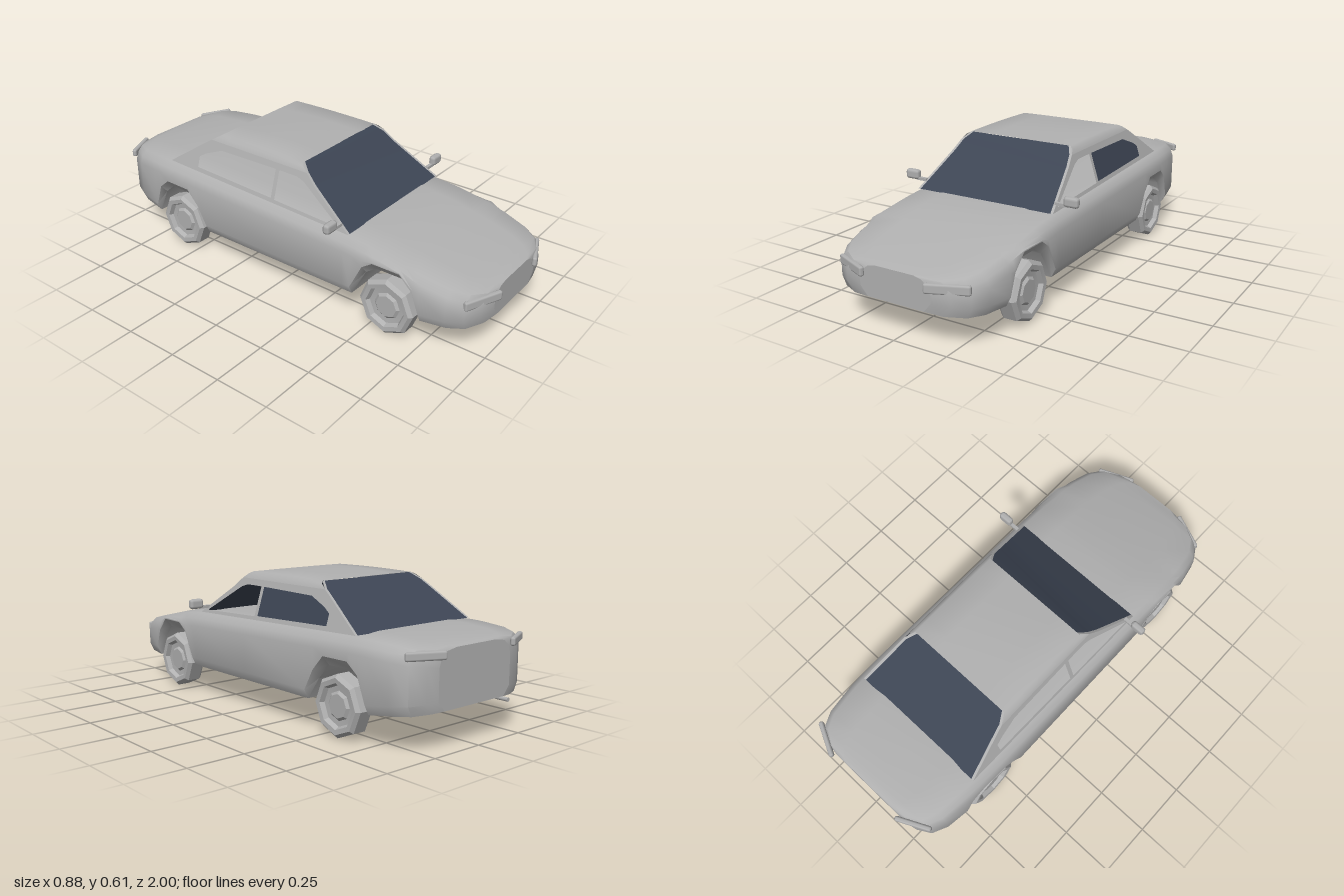
import * as THREE from 'three';
import { toCreasedNormals } from 'three/addons/utils/BufferGeometryUtils.js';
import { RoundedBoxGeometry } from 'three/addons/geometries/RoundedBoxGeometry.js';

const paint = new THREE.MeshStandardMaterial({ name: 'greyPaint', color: 0xb0b0b0, side: THREE.DoubleSide });
const glass = new THREE.MeshStandardMaterial({ name: 'darkGlass', color: 0x3d4554, side: THREE.DoubleSide });

// Piecewise linear lookup in [key, value] pairs with rising keys
function lookup(table, k) {
  for (let i = 1; i < table.length; i++) {
    const [a, va] = table[i - 1], [b, vb] = table[i];
    if (k <= b) return va + (vb - va) * Math.max(0, (k - a) / (b - a));
  }
  return table[table.length - 1][1];
}

// Skin over rows of points; closed joins each row's end to its start
function loft(rows, closed = false, crease = 0.7) {
  const n = rows[0].length, index = [];
  for (let i = 0; i < rows.length - 1; i++) {
    for (let j = 0; j < (closed ? n : n - 1); j++) {
      const a = i * n + j, b = i * n + (j + 1) % n;
      index.push(a, a + n, b, b, a + n, b + n);
    }
  }
  const g = new THREE.BufferGeometry();
  g.setAttribute('position', new THREE.Float32BufferAttribute(rows.flat(2), 3));
  g.setIndex(index);
  return toCreasedNormals(g, crease);
}

// Lower body stations: z, half width, bottom height, top height
const stations = [
  [0.98, 0.17, 0.145, 0.285], [0.965, 0.25, 0.138, 0.287], [0.925, 0.315, 0.135, 0.296],
  [0.86, 0.352, 0.132, 0.312], [0.75, 0.373, 0.13, 0.338],
  [0.72, 0.375, 0.22, 0.344], [0.66, 0.378, 0.285, 0.358], [0.53, 0.38, 0.285, 0.381], [0.48, 0.38, 0.25, 0.387],
  [0.42, 0.38, 0.13, 0.392], [0.38, 0.38, 0.13, 0.395], [0, 0.38, 0.13, 0.408], [-0.41, 0.38, 0.13, 0.42],
  [-0.46, 0.38, 0.22, 0.422], [-0.52, 0.38, 0.285, 0.424], [-0.655, 0.377, 0.285, 0.427], [-0.71, 0.374, 0.24, 0.427],
  [-0.75, 0.37, 0.13, 0.426], [-0.86, 0.357, 0.145, 0.42], [-0.93, 0.325, 0.152, 0.413],
  [-0.965, 0.265, 0.157, 0.407], [-0.975, 0.21, 0.16, 0.4],
];

function bodyRing([z, w, yb, yt]) {
  const tuck = yb > 0.2 || w < 0.3 ? 0.035 : 0.02;
  const ys = Math.max(yt - 0.07, yb + 0.045);
  const half = [
    [w - tuck, yb], [w, yb + 0.04], [w, ys],
    [w - 0.012, Math.max(yt - 0.035, ys + 0.005)], [w - 0.04, yt - 0.012], [w * 0.55, yt - 0.003],
  ];
  const left = half.map(([x, y]) => [-x, y]).reverse();
  return [...half, ...left].map(([x, y]) => [x, y, z]);
}

// Cabin outline by height: half width, windscreen edge, rear screen edge
const cabinX = [[0.39, 0.345], [0.572, 0.288], [0.59, 0.278], [0.6, 0.262]];
const frontZ = [[0.39, 0.385], [0.46, 0.28], [0.53, 0.175], [0.572, 0.125], [0.6, 0.085]];
const rearZ = [[0.42, -0.66], [0.5, -0.54], [0.55, -0.465], [0.572, -0.43], [0.6, -0.385]];
const frontWindow = [[0.335, 0.405], [0.12, 0.532], [0.08, 0.545], [-0.02, 0.545], [-0.02, 0.417]];
const rearWindow = [[-0.04, 0.42], [-0.04, 0.545], [-0.36, 0.54], [-0.45, 0.505], [-0.487, 0.483], [-0.487, 0.434]];

// Flat side piece given in (z, y), leaned onto the cabin side
function sidePiece(outline, holes, side) {
  const vec = (pts) => pts.map(([z, y]) => new THREE.Vector2(-z, y));
  const shape = new THREE.Shape(vec(outline));
  shape.holes = holes.map((h) => new THREE.Path(vec(h)));
  const g = new THREE.ShapeGeometry(shape), p = g.attributes.position;
  for (let i = 0; i < p.count; i++) {
    const y = p.getY(i);
    p.setXYZ(i, side * lookup(cabinX, y), y, -p.getX(i));
  }
  if (side < 0) {
    const ix = g.index.array;
    for (let i = 0; i < ix.length; i += 3) [ix[i], ix[i + 1]] = [ix[i + 1], ix[i]];
  }
  g.computeVertexNormals();
  return g;
}

// Strip of a screen between edge functions of height, listed left to right
function screenStrip(zTable, edges, reverse) {
  const ys = zTable.map(([y]) => y);
  const rows = edges.map((edge) => ys.map((y) => [edge(lookup(cabinX, y)), y, lookup(zTable, y)]));
  return loft(reverse ? rows.reverse() : rows);
}

export function createModel() {
  const car = new THREE.Group();
  car.name = 'car';
  const add = (name, geometry, material = paint) => {
    const mesh = new THREE.Mesh(geometry, material);
    mesh.name = name;
    car.add(mesh);
    return mesh;
  };

  // Lower body with wheel arches, closed by flat nose and tail panels
  const rings = stations.map(bodyRing);
  add('lowerBody', loft(rings, true));
  const cap = (ring) => new THREE.ShapeGeometry(new THREE.Shape(ring.map(([x, y]) => new THREE.Vector2(x, y))));
  add('nosePanel', cap(rings[0])).position.z = stations[0][0];
  const tail = add('tailPanel', cap(rings[rings.length - 1]));
  tail.rotation.y = Math.PI;
  tail.position.z = stations[stations.length - 1][0];

  // Windscreen and rear screen with their pillars
  for (const [name, table, reverse] of [['windscreen', frontZ, false], ['rearScreen', rearZ, true]]) {
    add(name, screenStrip(table, [(e) => 0.012 - e, (e) => e - 0.012], reverse), glass);
    add(name + 'PillarLeft', screenStrip(table, [(e) => e - 0.012, (e) => e], reverse));
    add(name + 'PillarRight', screenStrip(table, [(e) => -e, (e) => 0.012 - e], reverse));
  }

  // Roof, slightly crowned
  const roofHalf = [[0.288, 0.572], [0.278, 0.59], [0.262, 0.6], [0.14, 0.601], [0, 0.601]];
  const roofSection = [...roofHalf.map(([x, y]) => [-x, y]), ...roofHalf.slice(0, -1).reverse()];
  const roofRows = [];
  for (let i = 0; i <= 6; i++) {
    const t = i / 6;
    roofRows.push(roofSection.map(([x, y]) => [
      x,
      y + 0.011 * Math.sin(Math.PI * t) * (1 - (x / 0.288) ** 4),
      THREE.MathUtils.lerp(lookup(rearZ, y), lookup(frontZ, y), t),
    ]));
  }
  add('roof', loft(roofRows, false, 0.9));

  // Cabin sides with open windows; only the left rear one is glazed
  const edge = (table) => table.filter(([y]) => y <= 0.572).map(([y, z]) => [z, y]);
  const outline = [...edge(frontZ), ...edge(rearZ).reverse()];
  for (const side of [1, -1]) {
    add(side > 0 ? 'cabinSideLeft' : 'cabinSideRight', sidePiece(outline, [frontWindow, rearWindow], side));
  }
  add('rearSideWindow', sidePiece(rearWindow, [], 1), glass);

  // Eight-sided wheels
  const wheelProfile = [
    [0, 0.032], [0.05, 0.032], [0.062, 0.022], [0.085, 0.024], [0.095, 0.043], [0.116, 0.045], [0.131, 0.03],
    [0.131, -0.03], [0.118, -0.045], [0.09, -0.045], [0.08, -0.03], [0, -0.03],
  ].reverse().map(([r, y]) => new THREE.Vector2(r, y));
  const wheelGeometry = toCreasedNormals(new THREE.LatheGeometry(wheelProfile, 8), 0.4);
  wheelGeometry.rotateZ(-Math.PI / 2);

  for (const side of [1, -1]) {
    const word = side > 0 ? 'Left' : 'Right';
    for (const [name, z] of [['frontWheel', 0.59], ['rearWheel', -0.583]]) {
      const wheel = add(name + word, wheelGeometry);
      wheel.position.set(side * 0.325, 0.131, z);
      if (side < 0) wheel.rotation.y = Math.PI;
    }

    // Lamps set across the body corners
    const lamp = (name, width, height, x, y, z, turn) => {
      const mesh = add(name + word, new RoundedBoxGeometry(width, height, 0.022, 1, 0.009));
      mesh.position.set(side * x, y, z);
      mesh.rotation.y = side * turn;
    };
    lamp('headlamp', 0.183, 0.042, 0.23, 0.248, 0.957, 0.4);
    lamp('tailLamp', 0.165, 0.036, 0.268, 0.38, -0.96, -0.45);

    // Door mirror on a short arm
    const mirror = add('mirror' + word, new RoundedBoxGeometry(0.07, 0.046, 0.034, 1, 0.014));
    mirror.position.set(side * 0.405, 0.438, 0.338);
    const arm = add('mirrorArm' + word, new THREE.BoxGeometry(0.055, 0.013, 0.016));
    arm.position.set(side * 0.358, 0.421, 0.338);
  }

  // Exhaust pipe
  const exhaust = add('exhaust', new THREE.CylinderGeometry(0.009, 0.009, 0.06, 8));
  exhaust.rotation.x = Math.PI / 2;
  exhaust.position.set(-0.23, 0.133, -0.93);

  return car;
}
